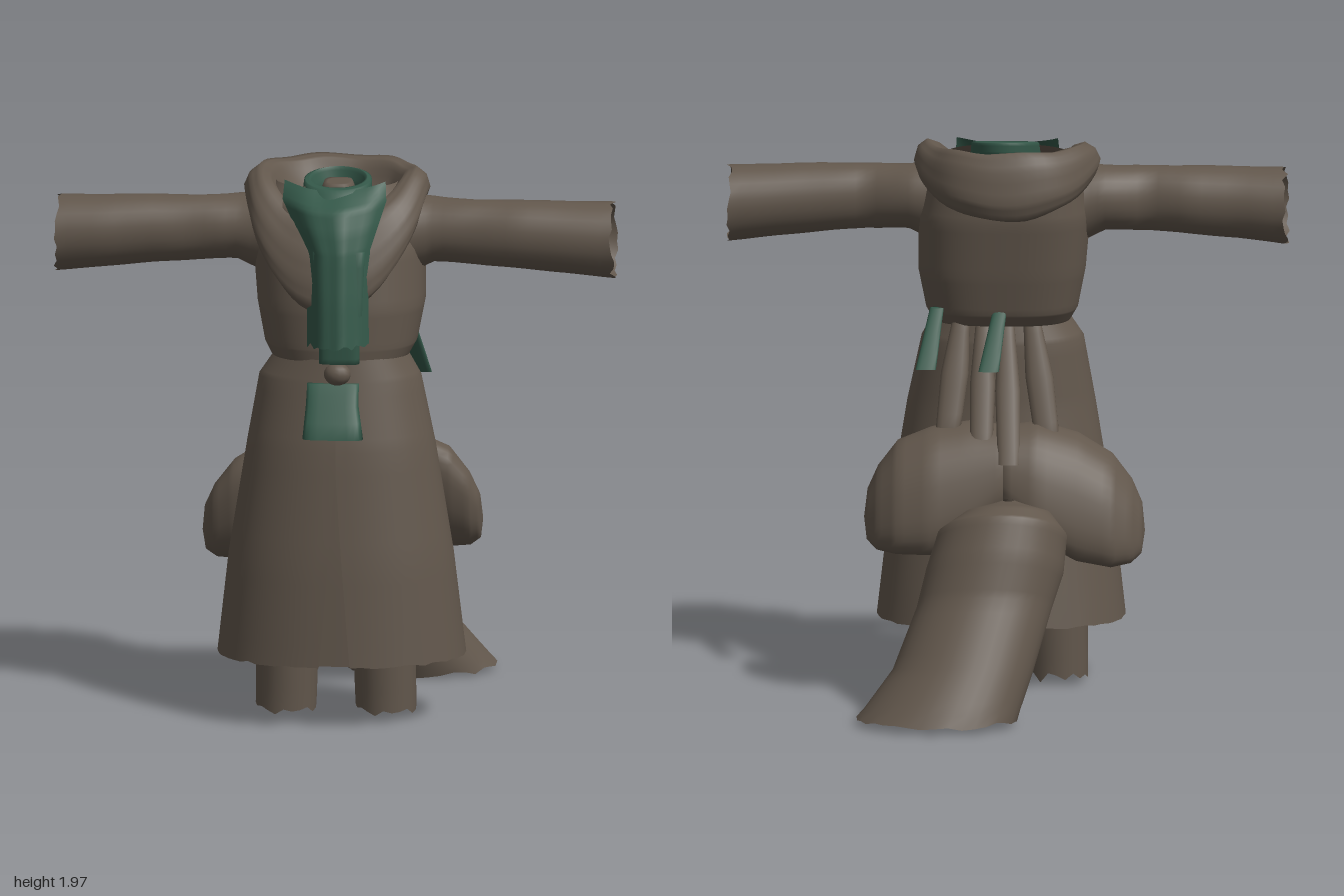
import * as THREE from 'three';

const brown = new THREE.MeshStandardMaterial({ color: 0x62574c, side: THREE.DoubleSide });
brown.name = 'brown cloth';
const green = new THREE.MeshStandardMaterial({ color: 0x345849, side: THREE.DoubleSide });
green.name = 'green scarf cloth';

const { lerp, clamp } = THREE.MathUtils;
const TAU = Math.PI * 2;

// Repeatable value from -1 to 1, for frayed edges
const fray = (n) => { const v = Math.sin(n * 12.9898) * 43758.5453; return (v - Math.floor(v)) * 2 - 1; };

// Surface through a grid of points; pt(u, v) gives [x, y, z]
function loft(pt, nu, nv, { closed = true, skip = () => false } = {}) {
  const pos = [], index = [], cols = closed ? nv : nv + 1;
  for (let i = 0; i <= nu; i++) for (let j = 0; j < cols; j++) pos.push(...pt(i / nu, j / nv));
  for (let i = 0; i < nu; i++) for (let j = 0; j < nv; j++) {
    const k = (j + 1) % cols;
    const a = i * cols + j, b = i * cols + k, c = a + cols, d = b + cols;
    const mid = [0, 1, 2].map((m) => (pos[a * 3 + m] + pos[d * 3 + m]) / 2);
    if (!skip(mid)) index.push(a, c, b, b, c, d);
  }
  const g = new THREE.BufferGeometry();
  g.setAttribute('position', new THREE.Float32BufferAttribute(pos, 3));
  g.setIndex(index);
  g.computeVertexNormals();
  return g;
}

// Blend between listed rows
function at(rows, u) {
  const f = u * (rows.length - 1), i = Math.min(Math.floor(f), rows.length - 2);
  return rows[i].map((v, k) => lerp(v, rows[i + 1][k], f - i));
}

const rounded = (v, p) => Math.sign(v) * Math.abs(v) ** p;

// Upright shape; rows run top to bottom: [y, centre x, half width, front z, back z, tilt]
function upright(rows, { cap = false, steps = 4, sides = 32, power = 1, backPower = power, hem = 0, slit = () => 0, closed = true, skip } = {}) {
  let list = rows.map((r) => [...r, 0].slice(0, 6));
  if (cap) {
    const shut = ([y, x, , f, b]) => [y, x, 0, (f + b) / 2, (f + b) / 2, 0];
    list = [shut(list[0]), ...list, shut(list[list.length - 1])];
  }
  return loft((u, v) => {
    const [y, cx, rx, zf, zb, tilt] = at(list, u);
    const a = slit(y), t = lerp(a, TAU - a, v);
    const p = Math.cos(t) < 0 ? backPower : power;
    const s = rounded(Math.sin(t), p), c = rounded(Math.cos(t), p);
    const edge = u === 1 ? hem * fray(v * sides + rows.length) : 0;
    return [cx + rx * s, Math.max(0, y + tilt * c + edge), (zf + zb) / 2 + (zf - zb) / 2 * c];
  }, steps * (list.length - 1), sides, { closed, skip });
}

export function createModel() {
  const model = new THREE.Group();
  const add = (name, geometry, material = brown) => {
    const mesh = new THREE.Mesh(geometry, material);
    mesh.name = name;
    model.add(mesh);
    return mesh;
  };

  // Bodice, hollow, with openings for the sleeves
  add('bodice', upright([
    [1.92, 0.0, 0.22, 0.43, 0.08], [1.85, 0.0, 0.275, 0.5, 0.06], [1.7, 0.01, 0.305, 0.555, 0.055],
    [1.5, 0.02, 0.297, 0.58, 0.085], [1.36, 0.02, 0.27, 0.58, 0.115], [1.315, 0.02, 0.245, 0.575, 0.15], [1.32, 0.02, 0.23, 0.57, 0.2],
  ], {
    steps: 6, sides: 64, power: 0.88, backPower: 0.7,
    skip: ([x, y, z]) => Math.abs(x) > 0.2 && Math.hypot((y - 1.745) / 0.115, (z - 0.31) / 0.105) < 1,
  }));

  // Hood lying round the shoulders: [half width, front z, back z, front y, side y, back y]
  const hoodRows = [
    [0.29, 0.565, 0.07, 1.48, 1.85, 1.71], [0.32, 0.605, 0.0, 1.52, 1.87, 1.73], [0.33, 0.6, -0.02, 1.6, 1.9, 1.79],
    [0.315, 0.575, 0.0, 1.69, 1.94, 1.9], [0.28, 0.53, 0.03, 1.78, 1.965, 1.965], [0.24, 0.48, 0.08, 1.83, 1.95, 1.955],
    [0.21, 0.45, 0.12, 1.82, 1.91, 1.87], [0.2, 0.44, 0.24, 1.78, 1.87, 1.78],
  ];
  add('hood', loft((u, v) => {
    const [rx, zf, zb, yf, ys, yb] = at(hoodRows, u);
    const t = v * TAU, c = Math.cos(t);
    const y = lerp(ys, c > 0 ? yf : yb, Math.abs(c) ** (c > 0 ? 1.6 : 1.3));
    const wrinkle = 0.004 * Math.sin(t * 7 + u * 5);
    return [(rx + wrinkle) * rounded(Math.sin(t), 0.9), y + wrinkle, (zf + zb) / 2 + (zf - zb) / 2 * c];
  }, 21, 56));

  // Open sleeves: [x, centre y, half height, centre z, half depth]
  for (const side of [1, -1]) {
    const sleeveRows = [
      [0.25, 1.735, 0.14, 0.31, 0.13], [0.35, 1.755, 0.117, 0.31, 0.11], [0.5, 1.75, 0.115, 0.333, 0.09],
      [0.65, 1.745, 0.123, 0.33, 0.105], [0.82, 1.735, 0.128, 0.33 - 0.01 * side, 0.115],
      [0.988, 1.725, 0.137, 0.322 - 0.014 * side, 0.125],
    ];
    add(side > 0 ? 'leftSleeve' : 'rightSleeve', loft((u, v) => {
      const [x, cy, ry, cz, rz] = at(sleeveRows, u);
      const t = v * TAU * side, fold = 1 + 0.02 * Math.sin(u * 19 + t * 2) * (1 - u);
      const edge = u === 1 ? 0.012 * fray(v * 28 + side) : 0;
      return [side * (x + edge), cy + ry * fold * Math.cos(t), cz + rz * fold * Math.sin(t)];
    }, 20, 28));
  }

  // Skirt with a front slit and a lining behind it
  add('skirt', upright([
    [1.325, 0.025, 0.235, 0.58, 0.19], [1.24, 0.02, 0.288, 0.595, 0.17], [1.0, 0.025, 0.335, 0.64, 0.16],
    [0.6, 0.025, 0.4, 0.68, 0.11], [0.235, 0.025, 0.442, 0.7, 0.05],
  ], { steps: 5, sides: 64, power: 0.94, hem: 0.005, closed: false, slit: (y) => 0.11 * clamp((0.93 - y) / 0.7, 0, 1) }));
  add('slitLining', upright([
    [0.97, 0.02, 0.03, 0.615, 0.61], [0.6, 0.02, 0.07, 0.64, 0.635], [0.23, 0.02, 0.1, 0.65, 0.645],
  ], { sides: 12 }));

  // Hollow trouser legs
  for (const side of [1, -1]) {
    add(side > 0 ? 'leftLeg' : 'rightLeg', upright([
      [0.8, 0.15 * side, 0.125, 0.46, 0.2], [0.3, 0.172 * side, 0.112, 0.45, 0.205], [0.025, 0.178 * side, 0.108, 0.435, 0.215],
    ], { sides: 22, hem: 0.022 }));
  }

  // Scarf neck wrap with a brown lining inside
  add('scarfWrap', upright([
    [1.84, 0.01, 0.12, 0.56, 0.27, -0.03], [1.89, 0.01, 0.125, 0.54, 0.24, -0.03], [1.94, 0.01, 0.12, 0.48, 0.24, -0.02],
    [1.945, 0.01, 0.1, 0.45, 0.26, -0.02], [1.9, 0.01, 0.08, 0.44, 0.27, -0.01], [1.86, 0.01, 0.075, 0.43, 0.27, 0],
  ], { sides: 36 }), green);
  add('neckLining', upright([
    [1.93, 0.01, 0.05, 0.42, 0.28], [1.86, 0.01, 0.077, 0.435, 0.265],
  ], { cap: true, power: 0.7 }));

  // Hanging scarf end, spread over the hood at the top: [y, centre x, half width, z, curl]
  const drapeRows = [
    [1.945, 0.005, 0.18, 0.47, 0.05], [1.88, 0.005, 0.185, 0.57, 0.12], [1.8, 0.015, 0.15, 0.605, 0.1],
    [1.72, 0.025, 0.115, 0.63, 0.08], [1.55, 0.028, 0.11, 0.662, 0.085], [1.385, 0.03, 0.11, 0.685, 0.09],
  ];
  add('scarfDrape', loft((u, v) => {
    const [y, x, hw, z, curl] = at(drapeRows, u);
    const s = v * 2 - 1;
    return [x + hw * s, y - 0.03 * (1 - u) * (1 - s * s) + (u === 1 ? 0.01 * fray(v * 16) : 0),
      z - curl * s * s + 0.004 * Math.sin(s * 9)];
  }, 20, 16, { closed: false }), green);

  // Short under-end and lower flap of the scarf
  add('scarfUnderEnd', upright([
    [1.72, 0.03, 0.095, 0.6, 0.54], [1.5, 0.035, 0.085, 0.635, 0.56], [1.4, 0.035, 0.072, 0.635, 0.565], [1.32, 0.035, 0.072, 0.63, 0.565],
  ], { cap: true, power: 0.6, sides: 20 }), green);
  add('scarfLowerFlap', upright([
    [1.245, 0.012, 0.092, 0.61, 0.57], [1.17, 0.012, 0.094, 0.65, 0.6], [1.06, 0.018, 0.108, 0.705, 0.64],
  ], { cap: true, power: 0.6, sides: 20, steps: 2 }), green);

  // Belt knot
  const knot = add('beltKnot', new THREE.SphereGeometry(0.048, 14, 10));
  knot.position.set(0.028, 1.28, 0.6);
  knot.scale.set(1, 0.85, 0.8);

  // Saddle pouches behind the hips: [x, centre y, half height, centre z, half depth]
  for (const side of [1, -1]) {
    const lift = side > 0 ? 0.03 : -0.02, back = side > 0 ? -0.02 : 0.02;
    const pouchRows = [
      [-0.04, 0.85, 0.001, 0.02, 0.001], [0.0, 0.84, 0.13, 0.02, 0.11], [0.12, 0.785, 0.2, 0.015, 0.13],
      [0.26, 0.735 + lift / 2, 0.215, 0.015 + back, 0.13], [0.38, 0.695 + lift, 0.19, 0.025 + back, 0.125],
      [0.45, 0.655 + lift, 0.14, 0.035 + back, 0.095], [0.487, 0.63 + lift, 0.085, 0.04 + back, 0.055],
      [0.498, 0.62 + lift, 0.001, 0.04 + back, 0.001],
    ];
    add(side > 0 ? 'leftPouch' : 'rightPouch', loft((u, v) => {
      const [x, cy, ry, cz, rz] = at(pouchRows, u);
      const t = v * TAU * side, c = rounded(Math.cos(t), 0.85), s = rounded(Math.sin(t), 0.85);
      return [side * x, cy + ry * c + rz * 0.2 * s, cz + rz * s + ry * 0.22 * c];
    }, 28, 32));
  }

  // Broad hollow tail sweeping back and to the left
  add('tail', upright([
    [0.74, -0.02, 0.02, -0.1, -0.14, 0], [0.7, -0.02, 0.15, 0.0, -0.27, -0.05], [0.62, 0.0, 0.23, 0.03, -0.335, -0.105],
    [0.5, 0.025, 0.245, -0.03, -0.39, -0.1], [0.38, 0.06, 0.24, -0.1, -0.44, -0.07],
    [0.18, 0.13, 0.25, -0.2, -0.58, -0.04], [0.02, 0.22, 0.285, -0.27, -0.705, -0.01],
  ], { steps: 5, sides: 36, hem: 0.01 }));

  // Ribbons hanging from the back of the waist: [x at top, x at bottom, z at bottom, length, half width]
  const ribbons = [
    [-0.09, -0.15, 0.05, 0.4, 0.05], [0.0, -0.02, -0.07, 0.48, 0.045],
    [0.08, 0.08, -0.02, 0.43, 0.045], [0.16, 0.2, 0.05, 0.37, 0.05],
  ];
  ribbons.forEach(([x0, x1, z1, len, hw], i) => add('backRibbon' + (i + 1), upright([
    [1.34, x0, hw * 0.6, 0.21, 0.17],
    [1.34 - len / 2, lerp(x0, x1, 0.5), hw, lerp(0.22, z1 + 0.03, 0.45), lerp(0.16, z1 - 0.03, 0.45)],
    [1.34 - len, x1, hw * 0.9, z1 + 0.025, z1 - 0.02],
  ], { cap: true, sides: 14, power: 0.8 })));

  // Green tabs at the back of the waist
  for (const [i, x, z] of [[1, 0.245, 0.16], [2, 0.02, 0.13]]) {
    add('backTab' + i, upright([
      [1.38, x, 0.025, z + 0.015, z - 0.015], [1.18, x + 0.035, 0.037, z - 0.11, z - 0.135],
    ], { cap: true, sides: 14, power: 0.7 }), green);
  }
  return model;
}
